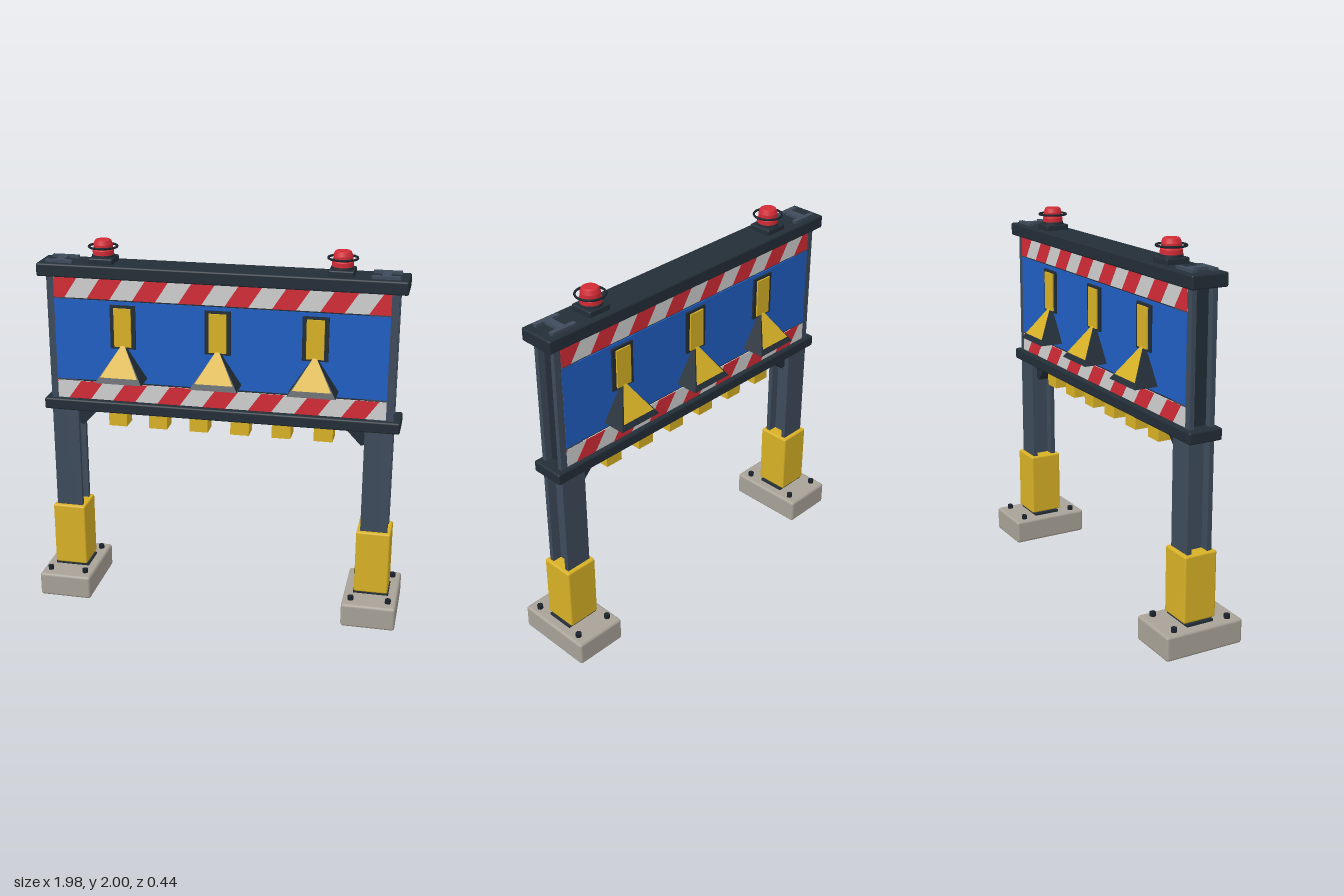
import * as THREE from 'three';
import { RoundedBoxGeometry } from 'three/addons/geometries/RoundedBoxGeometry.js';

const mat = (name, color, side = THREE.FrontSide) => {
  const m = new THREE.MeshStandardMaterial({ color, side });
  m.name = name;
  return m;
};

export function createModel() {
  const slate = mat('slate steel', 0x3e4b5b);
  const dark = mat('dark steel', 0x232e37);
  const yellow = mat('yellow paint', 0xd8b126, THREE.DoubleSide);
  const blue = mat('blue panel', 0x205fc4);
  const red = mat('red', 0xd32b36);
  const white = mat('off white', 0xd0d0d0);
  const concrete = mat('concrete', 0xa8a297);
  const black = mat('bolt black', 0x1a222b);

  const root = new THREE.Group();
  root.name = 'gantrySign';

  const add = (parent, name, geo, material, x = 0, y = 0, z = 0) => {
    const m = new THREE.Mesh(geo, material);
    m.name = name;
    m.position.set(x, y, z);
    parent.add(m);
    return m;
  };
  // Box given by its centre x, z and its lower and upper y
  const box = (parent, name, material, w, y0, y1, d, x = 0, z = 0, r = 0) =>
    add(parent, name,
      r ? new RoundedBoxGeometry(w, y1 - y0, d, 2, r) : new THREE.BoxGeometry(w, y1 - y0, d),
      material, x, (y0 + y1) / 2, z);
  const polygon = (points) => new THREE.Shape(points.map(([x, y]) => new THREE.Vector2(x, y)));
  const extrude = (shape, depth) => new THREE.ExtrudeGeometry(shape, { depth, bevelEnabled: false });

  // I-section of the columns, extruded upright
  const iShape = polygon([
    [-0.072, -0.07], [0.072, -0.07], [0.072, -0.045], [0.022, -0.045], [0.022, 0.045], [0.072, 0.045],
    [0.072, 0.07], [-0.072, 0.07], [-0.072, 0.045], [-0.022, 0.045], [-0.022, -0.045], [-0.072, -0.045],
  ]);

  // Two legs with footing, base plate, bolts, sleeve and brace
  for (const s of [-1, 1]) {
    const leg = new THREE.Group();
    leg.name = s > 0 ? 'leftLeg' : 'rightLeg';
    leg.position.x = s * 0.846;
    root.add(leg);
    box(leg, 'footing', concrete, 0.29, 0, 0.133, 0.44, 0, 0, 0.015);
    box(leg, 'basePlate', dark, 0.19, 0.13, 0.146, 0.15);
    for (const x of [-0.1, 0.1]) for (const z of [-0.155, 0.155])
      add(leg, 'bolt', new THREE.CylinderGeometry(0.016, 0.016, 0.026, 8), black, x, 0.142, z);
    box(leg, 'sleeve', yellow, 0.182, 0.15, 0.505, 0.184, 0, 0, 0.01);
    const column = extrude(iShape, 1.755);
    column.rotateX(-Math.PI / 2);
    add(leg, 'column', column, slate, 0, 0.14, 0);

    const brace = polygon([[0.776, 1.08], [0.66, 1.08], [0.755, 0.98], [0.776, 0.988]].map(([x, y]) => [s * x, y]));
    add(root, 'brace', extrude(brace, 0.08), dark, 0, 0, -0.04);
  }

  // Beams and panel core
  box(root, 'lowerBeam', dark, 1.91, 1.075, 1.137, 0.185, 0, 0, 0.01);
  box(root, 'upperBeam', dark, 1.925, 1.81, 1.88, 0.2, 0, 0, 0.01);
  box(root, 'panelCore', dark, 1.76, 1.13, 1.815, 0.132);

  // Blocks under the lower beam
  for (let i = 0; i < 6; i++)
    box(root, 'underBlock', yellow, 0.1, 0.99, 1.08, 0.1, (i - 2.5) * 0.223);

  // Keep the part of a polygon on the inner side of x = s * limit
  const clip = (pts, s, limit) => {
    const out = [];
    pts.forEach((p, i) => {
      const q = pts[(i + 1) % pts.length];
      const dp = limit - s * p[0], dq = limit - s * q[0];
      if (dp >= 0) out.push(p);
      if (dp * dq < 0) {
        const t = dp / (dp - dq);
        out.push([p[0] + t * (q[0] - p[0]), p[1] + t * (q[1] - p[1])]);
      }
    });
    return out;
  };

  // One sign face, repeated on the back by a half turn
  for (const turn of [0, Math.PI]) {
    const face = new THREE.Group();
    face.name = turn ? 'backFace' : 'frontFace';
    face.rotation.y = turn;
    root.add(face);
    box(face, 'bluePanel', blue, 1.76, 1.25, 1.69, 0.008, 0, 0.068);

    // Hazard bands with slanted red stripes
    for (const [y0, y1, start] of [[1.142, 1.24, -1.065], [1.698, 1.805, -0.945]]) {
      box(face, 'hazardBand', white, 1.76, y0, y1, 0.008, 0, 0.067);
      for (let i = 0; i < 9; i++) {
        const a = start + i * 0.245, b = a + 0.1225, lean = 0.07;
        let pts = [[a, y0], [b, y0], [b + lean, y1], [a + lean, y1]];
        pts = clip(clip(pts, 1, 0.88), -1, 0.88);
        if (pts.length > 2) add(face, 'redStripe', extrude(polygon(pts), 0.003), red, 0, 0, 0.0695);
      }
    }

    // Three lamps: backing, yellow bar and flared hood with yellow front
    for (const x of [-0.507, 0, 0.507]) {
      const lamp = new THREE.Group();
      lamp.name = 'lamp';
      lamp.position.x = x;
      face.add(lamp);
      box(lamp, 'lampBacking', dark, 0.136, 1.438, 1.672, 0.02, 0, 0.072);
      box(lamp, 'lampBar', yellow, 0.092, 1.45, 1.658, 0.03, 0, 0.075);
      const hood = new THREE.ConeGeometry(0.125 * Math.SQRT2, 0.19, 4, 1).toNonIndexed();
      hood.rotateY(Math.PI / 4);
      hood.computeVertexNormals();
      add(lamp, 'lampHood', hood, dark, 0, 1.375, 0.075);
      const front = new THREE.BufferGeometry().setFromPoints([
        new THREE.Vector3(0, 1.473, 0.079), new THREE.Vector3(-0.1, 1.308, 0.186), new THREE.Vector3(0.1, 1.308, 0.186),
      ]);
      front.computeVertexNormals();
      add(lamp, 'hoodFront', front, yellow);
    }
  }

  // Beacons on the upper beam
  const dome = [[0, 1.9], [0.055, 1.9], [0.055, 1.945], [0.05, 1.95], [0.05, 1.975], [0.042, 1.996], [0.036, 2], [0, 2]];
  for (const s of [-1, 1]) {
    const beacon = new THREE.Group();
    beacon.name = 'beacon';
    beacon.position.x = s * 0.623;
    root.add(beacon);
    box(beacon, 'beaconBase', dark, 0.13, 1.875, 1.91, 0.13, 0, 0, 0.008);
    add(beacon, 'beaconCollar', new THREE.CylinderGeometry(0.058, 0.06, 0.02, 20), dark, 0, 1.912, 0);
    // Separate bands keep the edges of the lens crisp
    for (let i = 1; i < dome.length; i++)
      add(beacon, 'beaconLens', new THREE.LatheGeometry(
        [dome[i - 1], dome[i]].map(([r, y]) => new THREE.Vector2(r, y)), 20), red);
    const ring = new THREE.TorusGeometry(0.074, 0.006, 6, 24);
    ring.rotateX(Math.PI / 2);
    add(beacon, 'beaconRing', ring, black, 0, 1.963, 0);
  }
  return root;
}
